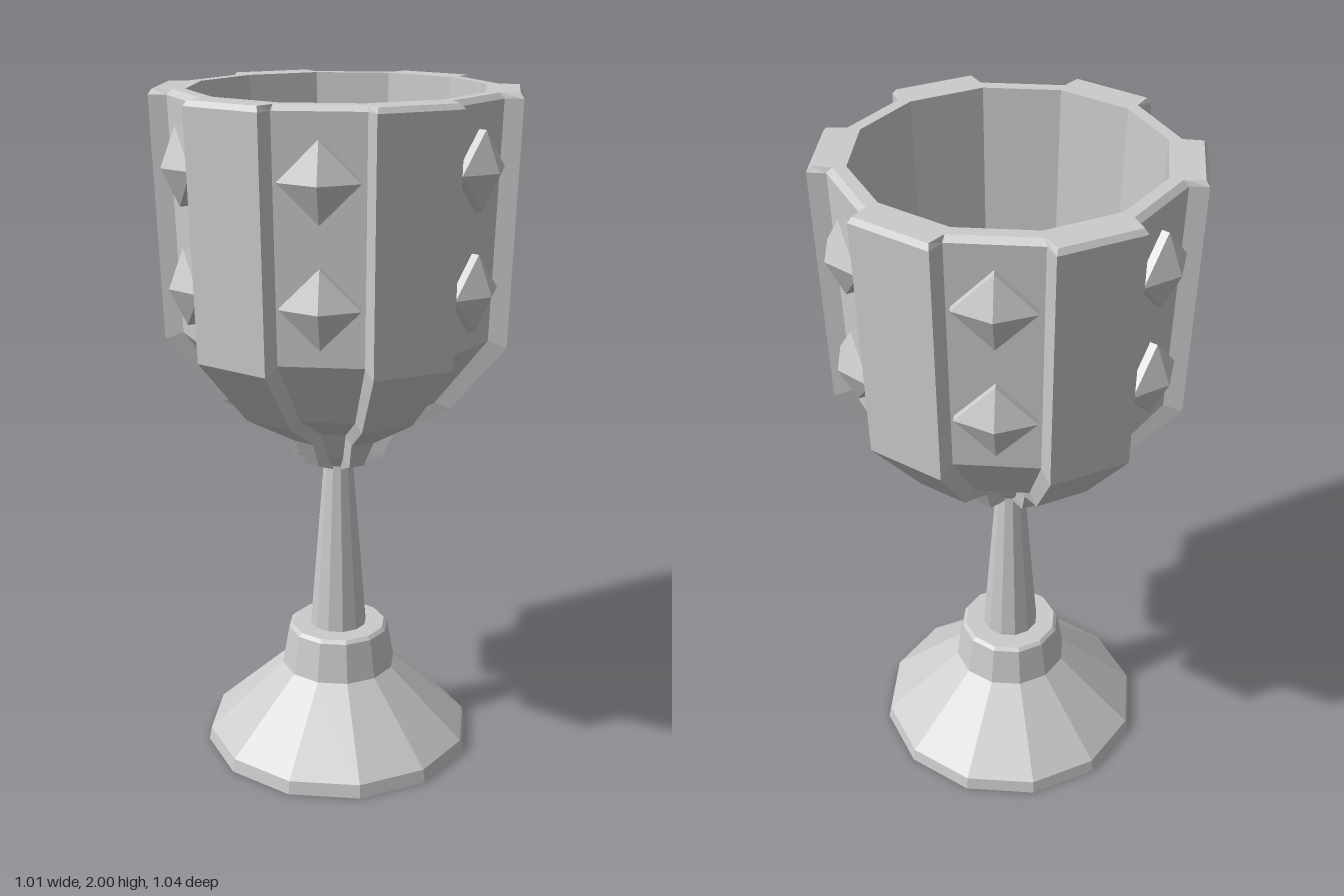
import * as THREE from 'three';

const SIDES = 12;
const STEP = Math.PI / 6;
const TAN = Math.tan(Math.PI / SIDES);
const mat = new THREE.MeshStandardMaterial({ color: 0xcccccc, flatShading: true });

function mesh(geometry, name) {
  const m = new THREE.Mesh(geometry, mat);
  m.name = name;
  return m;
}

// Twelve-sided turned part; the profile gives [distance to flat, y] from bottom to top
function turned(profile, name) {
  const k = 1 / Math.cos(Math.PI / SIDES);
  const pts = profile.map(([r, y]) => new THREE.Vector2(r * k, y));
  return mesh(new THREE.LatheGeometry(pts, SIDES, Math.PI / SIDES), name);
}

// Matching outlines of the bowl wall and the raised panels, top to bottom
const wall = [[0.44, 2], [0.455, 1.985], [0.432, 1.32], [0.285, 1.12], [0.13, 1.03], [0.085, 0.945], [0.04, 0.9]];
const raised = [[0.497, 2], [0.507, 1.985], [0.485, 1.3], [0.33, 1.105], [0.17, 1.01], [0.13, 0.93], [0.042, 0.893]];

// Raised strip following one flat of the bowl, facing +z
function panelGeometry() {
  const pos = [];
  const index = [];
  wall.forEach(([r, y], i) => {
    const [ro, yo] = raised[i];
    const w = r * TAN;
    const wo = i === 0 ? w - 0.004 : w;
    pos.push(-w, y, r, -wo, yo, ro, wo, yo, ro, w, y, r);
  });
  const quad = (a, b, c, d) => index.push(a, b, c, a, c, d);
  for (let i = 0; i < wall.length - 1; i++) {
    for (let j = 0; j < 3; j++) {
      const a = i * 4 + j;
      quad(a, a + 4, a + 5, a + 1);
    }
  }
  const e = (wall.length - 1) * 4;
  quad(0, 1, 2, 3);
  quad(e + 3, e + 2, e + 1, e);
  const g = new THREE.BufferGeometry();
  g.setAttribute('position', new THREE.Float32BufferAttribute(pos, 3));
  g.setIndex(index);
  g.computeVertexNormals();
  return g;
}

// Four-sided stud with a short rim and a pointed face, pointing along +z
function studGeometry() {
  const pts = [[0.108, -0.01], [0.108, 0.018], [0, 0.065]].map(([r, y]) => new THREE.Vector2(r, y));
  return new THREE.LatheGeometry(pts, 4).rotateX(Math.PI / 2);
}

export function createModel() {
  const goblet = new THREE.Group();
  goblet.name = 'goblet';

  // Foot with a shallow recess underneath
  goblet.add(turned([
    [0, 0.02], [0.345, 0.02], [0.355, 0], [0.395, 0], [0.388, 0.04],
    [0.168, 0.25], [0.148, 0.37], [0.138, 0.38], [0, 0.38],
  ], 'foot'));

  // Tapered stem
  goblet.add(turned([[0.083, 0.375], [0.042, 0.91]], 'stem'));

  // Bowl: outer wall, rim, inner wall and floor
  goblet.add(turned([
    [0, 0.9], ...wall.slice().reverse(), [0.405, 2], [0.375, 1.3], [0, 1.3],
  ], 'bowl'));

  // Panels and studs alternate around the bowl
  const panel = panelGeometry();
  const stud = studGeometry();
  for (let i = 0; i < SIDES; i++) {
    const side = new THREE.Group();
    side.rotation.y = i * STEP;
    if (i % 2) {
      side.name = 'panelSide';
      side.add(mesh(panel, 'raisedPanel'));
    } else {
      side.name = 'studSide';
      for (const y of [1.81, 1.48]) {
        const s = mesh(stud, 'stud');
        s.position.set(0, y, 0.432 + (y - 1.32) * 0.0346 + 0.004);
        s.rotation.x = 0.034;
        side.add(s);
      }
    }
    goblet.add(side);
  }
  return goblet;
}
